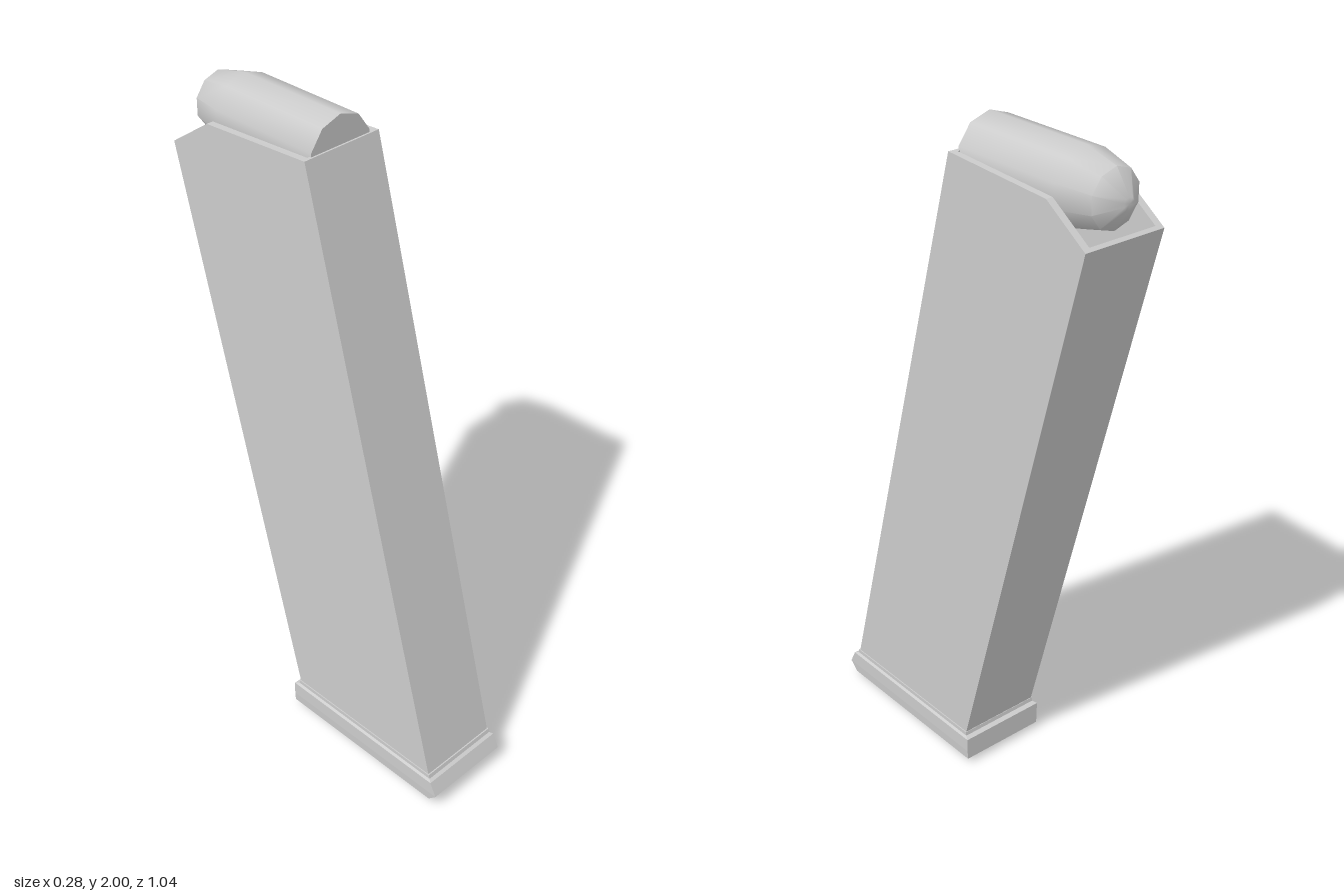
import * as THREE from 'three';
import { toCreasedNormals } from 'three/addons/utils/BufferGeometryUtils.js';

// Joins closed rings of [x, y, z] corners into a flat-faced solid, capped at both ends.
function loft(rings) {
  const n = rings[0].length;
  const pos = [];
  const tri = (a, b, c) => pos.push(...a, ...b, ...c);
  for (let r = 0; r < rings.length - 1; r++) {
    const lo = rings[r], hi = rings[r + 1];
    for (let i = 0; i < n; i++) {
      const j = (i + 1) % n;
      tri(lo[i], lo[j], hi[j]);
      tri(lo[i], hi[j], hi[i]);
    }
  }
  const first = rings[0], last = rings[rings.length - 1];
  for (let i = 1; i < n - 1; i++) {
    tri(first[0], first[i + 1], first[i]);
    tri(last[0], last[i], last[i + 1]);
  }
  const geo = new THREE.BufferGeometry();
  geo.setAttribute('position', new THREE.Float32BufferAttribute(pos, 3));
  geo.computeVertexNormals();
  return geo;
}

// Mirrored ring from a half width and a front-to-back list of [z, y].
function ring(w, side) {
  const right = side.map(([z, y]) => [w, y, z]);
  const left = side.map(([z, y]) => [-w, y, z]).reverse();
  return [...right, ...left];
}

export function createModel() {
  const group = new THREE.Group();
  const grey = new THREE.MeshStandardMaterial({ color: 0xcccccc });
  const add = (name, geo) => {
    const mesh = new THREE.Mesh(geo, grey);
    mesh.name = name;
    group.add(mesh);
    return mesh;
  };

  // Slanted hollow case: up the outside, over the rim, down the inside
  add('case', loft([
    ring(0.13, [[0.485, 0.1], [0.1, 0.1], [-0.06, 0.1]]),
    ring(0.13, [[-0.008, 1.917], [-0.375, 1.895], [-0.515, 1.8]]),
    ring(0.109, [[-0.02, 1.916], [-0.375, 1.895], [-0.505, 1.807]]),
    ring(0.109, [[0.468, 0.12], [0.1, 0.12], [-0.053, 0.12]]),
  ]));

  // Base plate with bevelled underside and a narrow collar: [y, half width, front z, back z]
  const levels = [
    [0, 0.112, 0.475, 0],
    [0.02, 0.138, 0.495, -0.08],
    [0.05, 0.14, 0.522, -0.08],
    [0.093, 0.14, 0.5, -0.08],
    [0.098, 0.133, 0.49, -0.066],
    [0.11, 0.133, 0.486, -0.064],
  ];
  add('basePlate', loft(levels.map(([y, w, f, b]) => ring(w, [[f, y], [b, y]]))));

  // Rounded ten-sided slug lying in the mouth of the case, pointing backwards
  const profile = [[0, 0.014], [0.107, 0.014], [0.107, 0.37], [0.081, 0.475], [0.017, 0.522], [0, 0.522]]
    .map(([r, d]) => new THREE.Vector2(r, d));
  const slug = new THREE.LatheGeometry(profile, 10);
  slug.rotateX(-Math.PI / 2);
  add('topRound', toCreasedNormals(slug, 0.8)).position.y = 1.893;

  return group;
}
